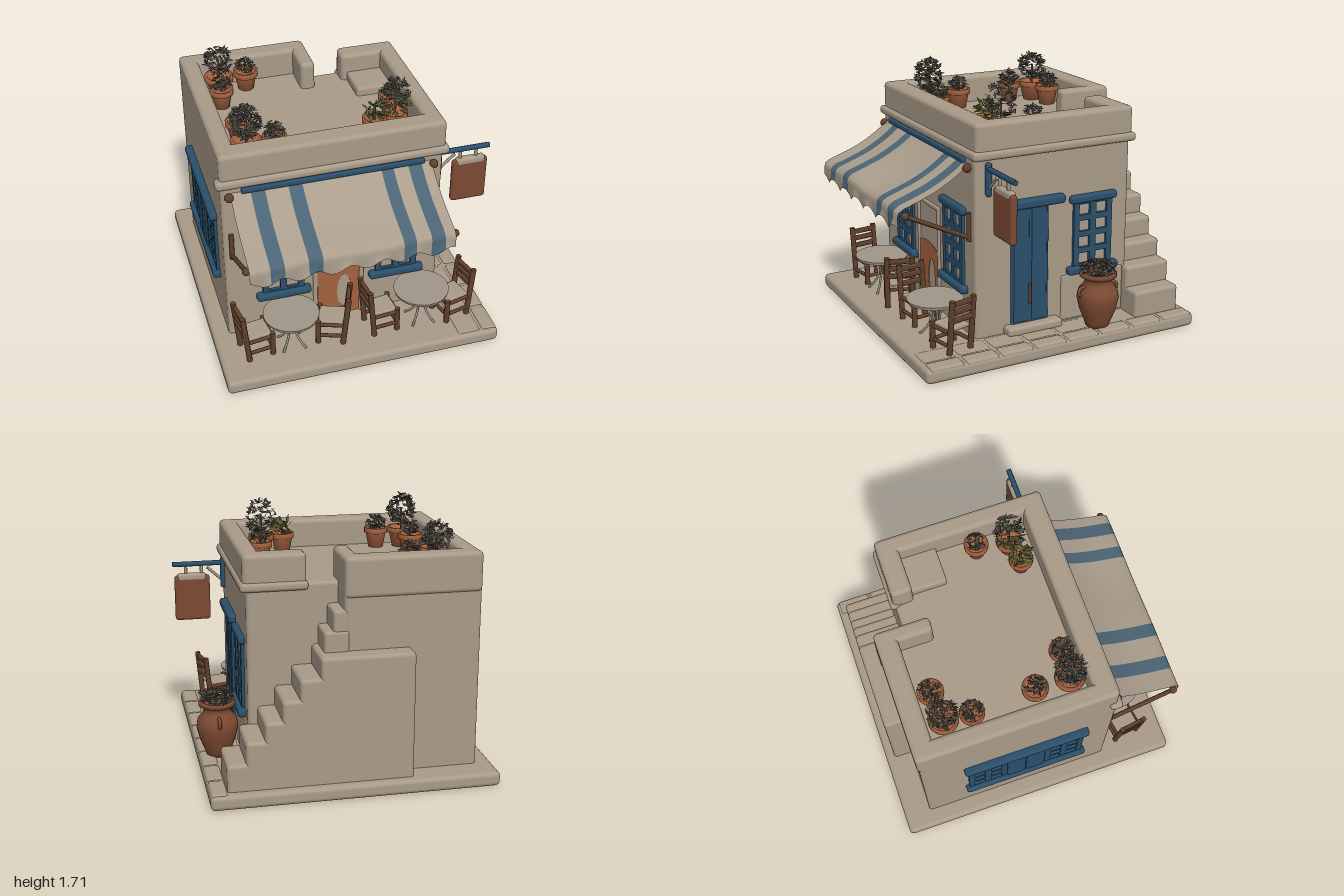
import * as THREE from 'three';
import { mergeGeometries } from 'three/addons/utils/BufferGeometryUtils.js';
import { RoundedBoxGeometry } from 'three/addons/geometries/RoundedBoxGeometry.js';

const mat = (name, color, side = THREE.FrontSide) => {
  const m = new THREE.MeshStandardMaterial({ color, side });
  m.name = name;
  return m;
};

export function createModel() {
  const plaster = mat('plaster', 0xa89a88);
  const cloth = mat('awning cloth', 0xaa9d8c, THREE.DoubleSide);
  const blueCloth = mat('blue cloth', 0x4b6475, THREE.DoubleSide);
  const blue = mat('blue paint', 0x2a4f6b);
  const wood = mat('wood', 0x60402c);
  const terracotta = mat('terracotta', 0xa4613f);
  const clay = mat('dark clay', 0x7c4a32);
  const dryLeaf = mat('dry foliage', 0x57534a, THREE.DoubleSide);
  const greenLeaf = mat('green foliage', 0x5c5d30, THREE.DoubleSide);
  const metal = mat('pale metal', 0xa09688);

  const root = new THREE.Group();
  root.name = 'tavern';
  let seed = 7;
  const rand = () => (seed = (seed * 16807) % 2147483647) / 2147483647;
  const add = (parent, name, geo, material, x = 0, y = 0, z = 0) => {
    const m = new THREE.Mesh(geo, material);
    m.name = name;
    m.position.set(x, y, z);
    parent.add(m);
    return m;
  };
  // Rounded box given by its limits
  const box = (parent, name, material, x0, x1, y0, y1, z0, z1, r = 0.02) => {
    const s = [x1 - x0, y1 - y0, z1 - z0];
    return add(parent, name, new RoundedBoxGeometry(...s, 2, Math.min(r, Math.min(...s) * 0.45)),
      material, (x0 + x1) / 2, (y0 + y1) / 2, (z0 + z1) / 2);
  };
  // Round bar between two points
  const bar = (parent, name, material, a, b, r, sides = 8) => {
    const p = new THREE.Vector3(...a), q = new THREE.Vector3(...b);
    const m = add(parent, name, new THREE.CylinderGeometry(r, r, p.distanceTo(q), sides), material);
    m.position.copy(p).add(q).multiplyScalar(0.5);
    m.quaternion.setFromUnitVectors(new THREE.Vector3(0, 1, 0), q.sub(p).normalize());
    return m;
  };
  const group = (name, x = 0, y = 0, z = 0, ry = 0, parent = root) => {
    const g = new THREE.Group();
    g.name = name;
    g.position.set(x, y, z);
    g.rotation.y = ry;
    parent.add(g);
    return g;
  };

  // Ground slab and paving
  box(root, 'groundSlab', plaster, -0.96, 0.9, 0, 0.095, -1, 0.97, 0.03);
  for (let i = 0; i < 8; i++) {
    const z = -0.98 + i * 0.242;
    box(root, 'pavingEdge', plaster, 0.79, 0.895, 0.06, 0.103, z, z + 0.23);
    if (i > 2) box(root, 'pavingInner', plaster, 0.62, 0.78, 0.06, 0.1, z, z + 0.23);
  }

  // House body
  const house = group('house');
  const wall = (name, ...b) => box(house, name, plaster, ...b);
  wall('mainBody', -0.85, 0.61, 0.06, 1.32, -0.63, 0.5, 0.025);
  wall('backBody', -0.85, 0.03, 0.06, 1.32, -0.82, -0.5, 0.025);
  wall('plasterPatch', 0.58, 0.617, 0.1, 0.42, -0.6, -0.12);

  // Parapet around the roof terrace
  wall('frontParapet', -0.85, 0.63, 1.28, 1.51, 0.35, 0.5, 0.03);
  wall('leftParapet', -0.85, -0.73, 1.25, 1.51, -0.83, 0.5, 0.03);
  wall('rightParapet', 0.51, 0.63, 1.28, 1.51, -0.64, 0.5, 0.03);
  wall('backParapet', -0.85, 0.03, 1.25, 1.51, -0.83, -0.69, 0.03);
  wall('backParapetReturn', -0.07, 0.03, 1.28, 1.51, -0.83, -0.46, 0.03);
  wall('backParapetRight', 0.23, 0.63, 1.28, 1.51, -0.64, -0.5, 0.03);
  wall('terraceBench', 0.27, 0.53, 1.3, 1.38, -0.52, -0.26);
  wall('frontCornice', -0.88, 0.65, 1.275, 1.335, 0.44, 0.525, 0.025);
  wall('rightCornice', 0.56, 0.65, 1.275, 1.335, -0.66, 0.525, 0.025);
  wall('backCornice', 0.22, 0.65, 1.275, 1.335, -0.66, -0.58, 0.025);

  // Outside stair climbing to the terrace
  [[0.92, 0.2], [0.79, 0.33], [0.66, 0.44], [0.53, 0.55], [0.41, 0.67], [0.27, 0.79]]
    .forEach(([y, x]) => wall('stairStep', -0.4, x, 0.06, y, -0.94, -0.6, 0.025));
  wall('upperStep', 0, 0.16, 0.8, 1.05, -0.83, -0.6);
  wall('topStep', 0, 0.1, 0.8, 1.18, -0.82, -0.6);

  // Barred window, facing +z, centred on its origin
  const frame = (parent, w, h, rows, x = 0) => {
    const s = new THREE.Shape();
    s.moveTo(-w / 2, -h / 2).lineTo(w / 2, -h / 2).lineTo(w / 2, h / 2).lineTo(-w / 2, h / 2);
    const cw = w / 2, ch = h / rows, pw = cw * 0.28, ph = ch * 0.31;
    for (let c = 0; c < 2; c++) for (let r = 0; r < rows; r++) {
      const cx = (c - 0.5) * cw * 0.88, cy = (r + 0.5 - rows / 2) * ch * 0.95;
      const hole = new THREE.Path();
      hole.moveTo(cx - pw, cy - ph).lineTo(cx - pw, cy + ph).lineTo(cx + pw, cy + ph).lineTo(cx + pw, cy - ph);
      s.holes.push(hole);
    }
    add(parent, 'windowFrame', new THREE.ExtrudeGeometry(s, { depth: 0.025, bevelEnabled: false }), blue, x);
  };
  const windowUnit = (name, x, y, z, ry, w, h, lintel = true) => {
    const g = group(name, x, y, z, ry);
    frame(g, w, h, 4);
    box(g, 'sill', blue, -w / 2 - 0.045, w / 2 + 0.045, -h / 2 - 0.035, -h / 2 + 0.02, -0.01, 0.055);
    if (lintel) box(g, 'lintel', blue, -w / 2 - 0.03, w / 2 + 0.03, h / 2 - 0.02, h / 2 + 0.035, -0.01, 0.045);
  };
  windowUnit('frontWindowRight', -0.47, 0.645, 0.495, 0, 0.28, 0.51);
  windowUnit('frontWindowLeft', 0.31, 0.655, 0.495, 0, 0.29, 0.51);
  windowUnit('sideWindow', 0.605, 0.69, -0.35, Math.PI / 2, 0.29, 0.47);

  // Wide shuttered window on the -x wall
  const shutters = group('shutteredWindow', -0.845, 0.7, -0.11, -Math.PI / 2);
  frame(shutters, 0.27, 0.46, 4, -0.27);
  frame(shutters, 0.27, 0.46, 4, 0.27);
  for (const x of [-0.068, 0.068])
    box(shutters, 'shutter', blue, x - 0.064, x + 0.064, -0.23, 0.23, 0, 0.035, 0.01);
  box(shutters, 'lintel', blue, -0.43, 0.43, 0.21, 0.265, -0.01, 0.055);
  box(shutters, 'sill', blue, -0.43, 0.43, -0.265, -0.21, -0.01, 0.055);

  // Side door
  const door = group('sideDoor');
  box(door, 'doorPanel', blue, 0.59, 0.625, 0.14, 0.95, -0.02, 0.25, 0.01);
  for (const z of [0.05, 0.18]) box(door, 'doorPlank', blue, 0.61, 0.632, 0.16, 0.93, z - 0.055, z + 0.055, 0.008);
  box(door, 'doorLintel', blue, 0.58, 0.66, 0.93, 0.99, -0.13, 0.33);
  box(door, 'doorStep', plaster, 0.58, 0.69, 0.09, 0.15, -0.1, 0.3);
  bar(door, 'doorHandle', wood, [0.64, 0.28, 0.125], [0.64, 0.42, 0.125], 0.01);

  // Front doorway with painted arch
  const entry = group('frontDoorway');
  box(entry, 'doorLeaf', plaster, -0.235, 0.055, 0.09, 0.8, 0.48, 0.503, 0.005);
  for (const x of [-0.25, 0.07]) box(entry, 'doorJamb', plaster, x - 0.015, x + 0.015, 0.09, 0.82, 0.48, 0.515, 0.01);
  box(entry, 'doorHead', plaster, -0.265, 0.085, 0.8, 0.83, 0.48, 0.515, 0.01);
  const arch = new THREE.Shape();
  arch.moveTo(-0.235, 0.1).lineTo(0.055, 0.1).lineTo(0.055, 0.5).quadraticCurveTo(-0.1, 0.57, -0.235, 0.52);
  const niche = new THREE.Path();
  niche.absellipse(-0.05, 0.29, 0.05, 0.14, 0, Math.PI * 2);
  arch.holes.push(niche);
  add(entry, 'paintedArch', new THREE.ExtrudeGeometry(arch, { depth: 0.005, bevelEnabled: false, curveSegments: 8 }),
    terracotta, 0, 0, 0.502);

  // Striped awning: strips following one sagging profile, with a scalloped hem
  const awning = group('awning');
  const profile = new THREE.CatmullRomCurve3([[1.24, 0.5], [1.17, 0.6], [1.1, 0.73], [1.05, 0.86], [1.0, 0.975], [0.94, 0.985], [0.885, 0.99]]
    .map(([y, z]) => new THREE.Vector3(0, y, z)));
  const edges = [-0.79, -0.66, -0.57, -0.42, -0.33, 0.19, 0.27, 0.37, 0.46, 0.53];
  for (let i = 0; i < 9; i++) {
    const w = edges[i + 1] - edges[i];
    const geo = new THREE.PlaneGeometry(w, 1, Math.ceil(w / 0.025), 18);
    const p = geo.attributes.position;
    for (let k = 0; k < p.count; k++) {
      const x = p.getX(k) + (edges[i] + edges[i + 1]) / 2, t = 0.5 - p.getY(k);
      const q = profile.getPoint(t);
      const hem = Math.max(0, t - 0.8) * 5;
      p.setXYZ(k, x, q.y + Math.sin(x * 29) * 0.025 * hem - 0.008 * Math.sin(t * 3.14) * (1 + Math.cos(x * 9)),
        q.z + hem * 0.01 * Math.sin(x * 29 + 1));
    }
    geo.computeVertexNormals();
    add(awning, i % 2 ? 'blueStripe' : 'paleStripe', geo, i % 2 ? blueCloth : cloth);
  }
  box(awning, 'awningRail', blue, -0.72, 0.48, 1.235, 1.27, 0.49, 0.525, 0.01);
  for (const x of [-0.8, 0.54]) {
    bar(awning, 'awningStrut', wood, [x, 0.76, 0.5], [x, 0.97, 0.94], 0.015);
    add(awning, 'strutKnob', new THREE.SphereGeometry(0.026, 10, 8), wood, x, 0.97, 0.94);
    bar(awning, 'wallCleat', wood, [x, 0.74, 0.51], [x, 0.93, 0.51], 0.016);
    add(awning, 'railKnob', new THREE.SphereGeometry(0.03, 10, 8), wood, x, 1.22, 0.52);
  }

  // Hanging blank sign
  const sign = group('hangingSign');
  bar(sign, 'signPole', blue, [0.6, 1.22, 0.41], [0.97, 1.22, 0.41], 0.018);
  box(sign, 'signMount', blue, 0.59, 0.64, 1.04, 1.26, 0.39, 0.43);
  bar(sign, 'signBrace', metal, [0.62, 1.09, 0.41], [0.73, 1.19, 0.41], 0.01);
  box(sign, 'signBoard', clay, 0.715, 0.96, 0.82, 1.14, 0.385, 0.435, 0.022);
  box(sign, 'signCap', plaster, 0.74, 0.94, 1.1, 1.155, 0.383, 0.437, 0.02);
  for (const x of [0.77, 0.88]) bar(sign, 'signHook', metal, [x, 1.13, 0.41], [x, 1.22, 0.41], 0.012);

  // Cafe tables
  for (const x of [-0.47, 0.43]) {
    const t = group('cafeTable', x, 0.095, 0.7);
    add(t, 'tableTop', new THREE.CylinderGeometry(0.185, 0.18, 0.02, 28), metal, 0, 0.255, 0);
    for (let i = 0; i < 4; i++) {
      const a = Math.PI / 4 + i * Math.PI / 2;
      const path = new THREE.CatmullRomCurve3([[0.11, 0], [0.055, 0.06], [0.03, 0.14], [0.09, 0.25]]
        .map(([r, y]) => new THREE.Vector3(r * Math.cos(a), y, r * Math.sin(a))));
      add(t, 'tableLeg', new THREE.TubeGeometry(path, 10, 0.008, 6), metal);
    }
  }

  // Ladder-back chairs, facing +x before turning
  [[-0.71, 0.15], [-0.19, Math.PI - 0.35], [0.15, 0.1], [0.65, Math.PI + 0.25]].forEach(([x, ry]) => {
    const c = group('chair', x, 0.095, 0.69, ry);
    for (const z of [-0.085, 0.085]) {
      bar(c, 'backPost', wood, [-0.08, 0, z], [-0.115, 0.37, z], 0.019);
      bar(c, 'frontLeg', wood, [0.085, 0, z], [0.085, 0.18, z], 0.019);
      for (const y of [0.06, 0.15]) bar(c, 'sideRung', wood, [-0.09, y, z], [0.085, y, z], 0.013);
    }
    for (const y of [0.06, 0.15]) bar(c, 'frontRung', wood, [0.085, y, -0.085], [0.085, y, 0.085], 0.013);
    for (const y of [0.235, 0.29, 0.34]) box(c, 'backSlat', wood, -0.122, -0.096, y - 0.017, y + 0.017, -0.085, 0.085, 0.008);
    box(c, 'seat', plaster, -0.085, 0.085, 0.15, 0.178, -0.08, 0.08, 0.01);
  });

  // Foliage: small pointed leaves scattered through a ball
  const bush = (parent, y, r, h, count, material, size = 0.035) => {
    const leaves = [];
    for (let i = 0; i < count; i++) {
      const leaf = new THREE.CircleGeometry(size, 4).scale(0.8, 0.3, 1);
      leaf.rotateX(rand() * 6.28).rotateY(rand() * 6.28).rotateZ((rand() - 0.5) * 2.4);
      const a = rand() * 6.28, u = rand() * 2 - 1, d = Math.cbrt(0.3 + 0.7 * rand()), s = Math.sqrt(1 - u * u);
      leaves.push(leaf.translate(r * d * s * Math.cos(a), y + h / 2 * (1 + d * u), r * d * s * Math.sin(a)));
    }
    add(parent, 'leaves', mergeGeometries(leaves), material);
  };
  const lathe = (pts) => new THREE.LatheGeometry(pts.map(([r, y]) => new THREE.Vector2(r, y)), 24);

  // Potted plants on the terrace: x, z, pot radius, foliage radius, foliage height, leaves, material
  [[-0.62, -0.58, 0.098, 0.1, 0.2, 170, dryLeaf], [-0.43, -0.6, 0.085, 0.065, 0.1, 70, dryLeaf],
    [-0.64, -0.4, 0.08, 0.065, 0.1, 70, dryLeaf], [-0.62, 0.02, 0.085, 0.06, 0.1, 60, dryLeaf],
    [-0.62, 0.25, 0.098, 0.098, 0.23, 260, dryLeaf], [-0.44, 0.26, 0.08, 0.07, 0.1, 80, dryLeaf],
    [0.42, -0.01, 0.08, 0.06, 0.1, 60, dryLeaf], [0.23, 0.23, 0.08, 0.07, 0.12, 30, greenLeaf],
    [0.38, 0.2, 0.085, 0.105, 0.24, 110, dryLeaf]].forEach(([x, z, r, fr, fh, n, m]) => {
    const g = group('pottedPlant', x, 1.315, z);
    add(g, 'pot', lathe([[0, 0], [r * 0.62, 0], [r * 0.85, 0.1], [r, 0.105], [r, 0.14], [r * 0.8, 0.14], [r * 0.76, 0.12], [0, 0.12]]), terracotta);
    bar(g, 'stem', dryLeaf, [0, 0.1, 0], [0, 0.16 + fh * 0.5, 0], 0.008, 5);
    bush(g, 0.13 + (fh > 0.18 ? 0.02 : 0), fr, fh, n, m, m === greenLeaf ? 0.05 : 0.032);
    if (x === 0.38) bush(g, 0.12, 0.1, 0.14, 25, greenLeaf, 0.045);
  });

  // Large jar with two lugs beside the stair
  const jar = group('largeJar', 0.77, 0.095, -0.31);
  add(jar, 'jarBody', lathe([[0, 0], [0.075, 0], [0.085, 0.03], [0.12, 0.12], [0.138, 0.2], [0.13, 0.25], [0.095, 0.295],
    [0.085, 0.32], [0.1, 0.34], [0.122, 0.35], [0.12, 0.375], [0.095, 0.375], [0.085, 0.35], [0, 0.35]]), clay);
  for (const s of [-1, 1]) add(jar, 'jarLug', new THREE.TorusGeometry(0.03, 0.012, 8, 14), clay, 0, 0.255, s * 0.115).rotation.y = Math.PI / 2;
  bush(jar, 0.355, 0.115, 0.09, 170, dryLeaf);

  return root;
}
